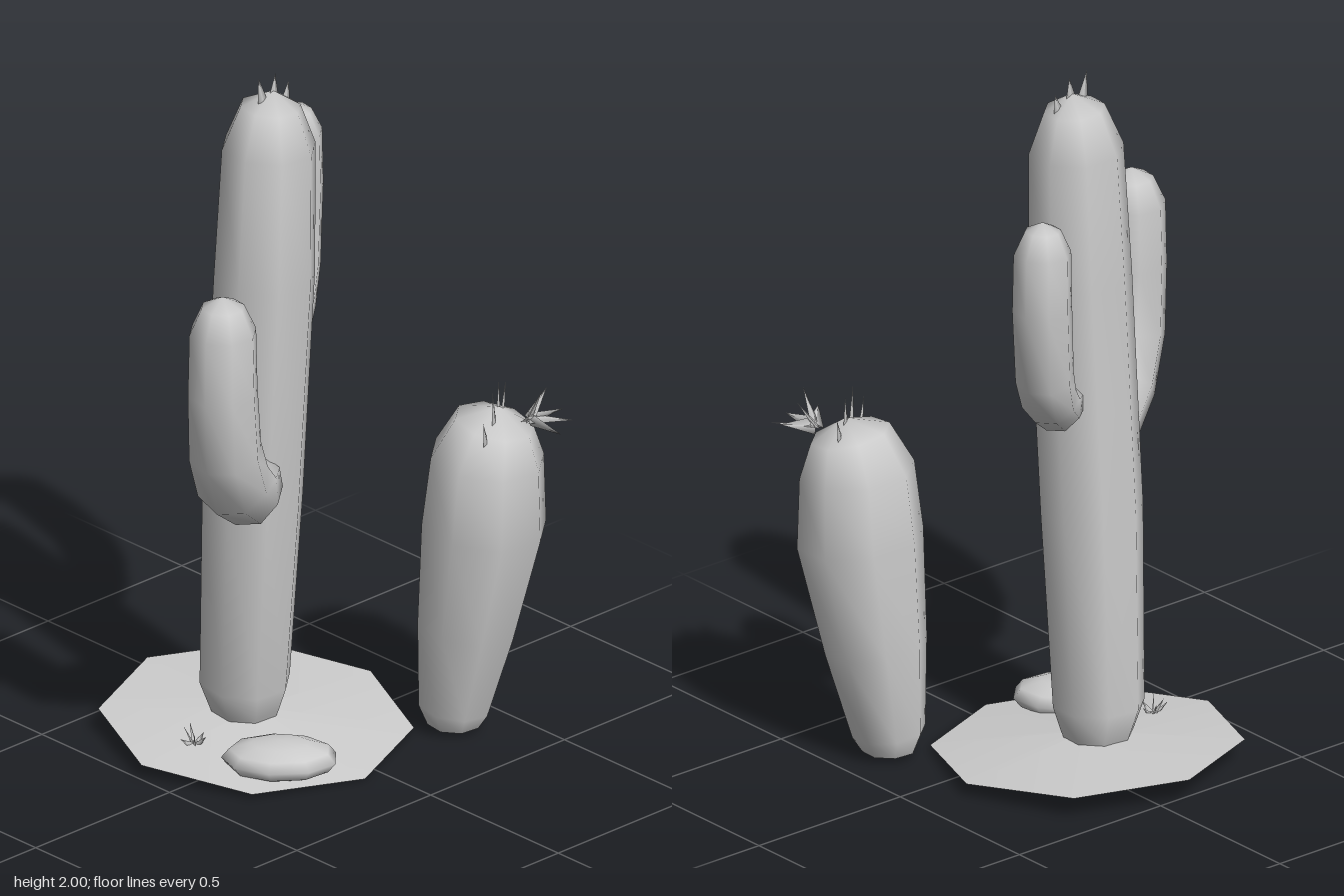
import * as THREE from 'three';
import { mergeVertices } from 'three/addons/utils/BufferGeometryUtils.js';

const SIDES = 8;

// Smooth tube through stations [x, y, z, radius]; a radius of 0 closes an end to a point.
function loft(stations, turn = 0.3) {
  const pts = stations.map(([x, y, z]) => new THREE.Vector3(x, y, z));
  const pos = [], idx = [];
  let prev = new THREE.Vector3(0, 1, 0);
  const frame = new THREE.Quaternion();
  stations.forEach((s, i) => {
    const a = pts[Math.max(i - 1, 0)], b = pts[Math.min(i + 1, pts.length - 1)];
    const dir = b.clone().sub(a).normalize();
    frame.premultiply(new THREE.Quaternion().setFromUnitVectors(prev, dir));
    prev = dir;
    for (let j = 0; j < SIDES; j++) {
      const t = turn + j / SIDES * Math.PI * 2;
      const p = new THREE.Vector3(Math.sin(t), 0, Math.cos(t))
        .multiplyScalar(s[3]).applyQuaternion(frame).add(pts[i]);
      pos.push(p.x, p.y, p.z);
      if (i > 0) {
        const k = (j + 1) % SIDES, lo = (i - 1) * SIDES, hi = i * SIDES;
        if (stations[i - 1][3] > 0) idx.push(lo + j, lo + k, hi + j);
        if (s[3] > 0) idx.push(lo + k, hi + k, hi + j);
      }
    }
  });
  let geo = new THREE.BufferGeometry();
  geo.setAttribute('position', new THREE.Float32BufferAttribute(pos, 3));
  geo.setIndex(idx);
  geo = mergeVertices(geo, 1e-5);
  geo.computeVertexNormals();
  return geo;
}

export function createModel() {
  const group = new THREE.Group();
  const grey = new THREE.MeshStandardMaterial({ color: 0xcccccc });
  grey.name = 'plainGrey';

  function add(name, geo, parent = group) {
    const mesh = new THREE.Mesh(geo, grey);
    mesh.name = name;
    parent.add(mesh);
    return mesh;
  }

  // Thin flat spine from base to tip, turned about its own length
  function blade(name, base, tip, width, thick, yaw, parent) {
    const a = new THREE.Vector3(...base), b = new THREE.Vector3(...tip);
    const d = b.clone().sub(a);
    const mesh = add(name, new THREE.ConeGeometry(0.5, 1, 4), parent);
    mesh.scale.set(width, d.length(), thick);
    mesh.position.copy(a).add(b).multiplyScalar(0.5);
    mesh.quaternion.setFromUnitVectors(new THREE.Vector3(0, 1, 0), d.normalize())
      .multiply(new THREE.Quaternion().setFromAxisAngle(new THREE.Vector3(0, 1, 0), yaw));
  }

  function cluster(name) {
    const g = new THREE.Group();
    g.name = name;
    group.add(g);
    return g;
  }

  // Low, slightly tilted ground patch
  const ground = add('groundPatch', new THREE.ConeGeometry(0.428, 0.035, SIDES));
  ground.position.set(-0.065, 0.0575, -0.115);
  ground.rotation.x = 0.08;

  // Main column
  add('trunk', loft([
    [-0.08, 0.035, -0.14, 0.08], [-0.08, 0.08, -0.14, 0.1], [-0.085, 0.16, -0.14, 0.127],
    [-0.096, 0.72, -0.098, 0.142], [-0.085, 1.4, -0.063, 0.143],
    [-0.072, 1.78, -0.06, 0.132], [-0.067, 1.9, -0.058, 0.085], [-0.06, 1.945, -0.055, 0],
  ]));

  // Arms rise in slanted planes: z follows x
  const arm = (list, zOf) => loft(list.map(([x, y, r]) => [x, y, zOf(x), r]));
  add('rightArm', arm([
    [-0.135, 0.84, 0], [-0.165, 0.835, 0.072], [-0.26, 0.84, 0.093], [-0.375, 0.935, 0.103],
    [-0.44, 1.06, 0.102], [-0.46, 1.25, 0.098], [-0.46, 1.43, 0.094],
    [-0.46, 1.505, 0.06], [-0.46, 1.535, 0],
  ], x => -0.58 * x - 0.1));
  add('leftArm', arm([
    [-0.01, 1.075, 0], [0.02, 1.08, 0.058], [0.095, 1.1, 0.068], [0.175, 1.17, 0.077],
    [0.22, 1.26, 0.081], [0.245, 1.48, 0.083], [0.243, 1.64, 0.08],
    [0.24, 1.705, 0.05], [0.24, 1.73, 0],
  ], x => -0.12 - 0.77 * (x - 0.02)));

  // Small barrel cactus, open underneath
  add('smallCactus', loft([
    [0.34, 0.018, 0.235, 0.075], [0.34, 0.07, 0.237, 0.102], [0.36, 0.32, 0.267, 0.142],
    [0.38, 0.63, 0.31, 0.176], [0.385, 0.83, 0.318, 0.16],
    [0.395, 0.935, 0.335, 0.112], [0.405, 0.98, 0.345, 0],
  ]));

  // Rock sunk into the patch
  const rock = add('rock', new THREE.SphereGeometry(1, 9, 6));
  rock.scale.set(0.16, 0.053, 0.11);
  rock.position.set(-0.21, 0.055, 0.13);
  rock.rotation.y = -Math.PI / 4;

  // Spines on the trunk top
  const crown = cluster('trunkSpines');
  [[-0.1, 1.925, -0.115, 2.0], [-0.058, 1.93, -0.052, 1.993], [-0.014, 1.9, -0.002, 1.957]]
    .forEach(([x, y, tx, ty]) =>
      blade('spine', [x, y, -0.055], [tx, ty, -0.055], 0.034, 0.009, 0, crown));

  // Spines in a diagonal row on the small cactus
  const row = cluster('smallCactusSpines');
  [[0.305, 0.92, 0.395, 0.285, 0.99], [0.36, 0.955, 0.37, 0.35, 1.05],
    [0.41, 0.965, 0.335, 0.415, 1.05], [0.455, 0.935, 0.305, 0.48, 1.015]]
    .forEach(([x, y, z, tx, ty]) =>
      blade('spine', [x, y, z], [tx, ty, z - (tx - x) * 0.6], 0.034, 0.01, 0.5, row));

  // Pointed flower leaning outwards on the small cactus
  const flower = cluster('flower');
  [[0.545, 0.965, 0.45], [0.535, 0.95, 0.5], [0.455, 0.945, 0.535], [0.41, 0.985, 0.45],
    [0.46, 1.05, 0.455], [0.51, 1.03, 0.42]]
    .forEach((tip, i) => blade('petal', [0.455, 0.95, 0.41], tip, 0.05, 0.014, i * 0.9, flower));

  // Small tuft growing from the patch
  const tuft = cluster('groundTuft');
  [[-0.355, 0.075, -0.11], [-0.335, 0.095, -0.075], [-0.275, 0.075, -0.1],
    [-0.29, 0.095, -0.14], [-0.325, 0.1, -0.13], [-0.3, 0.08, -0.065]]
    .forEach((tip, i) => blade('leaf', [-0.31, 0.04, -0.1], tip, 0.024, 0.008, i * 1.1, tuft));

  return group;
}
